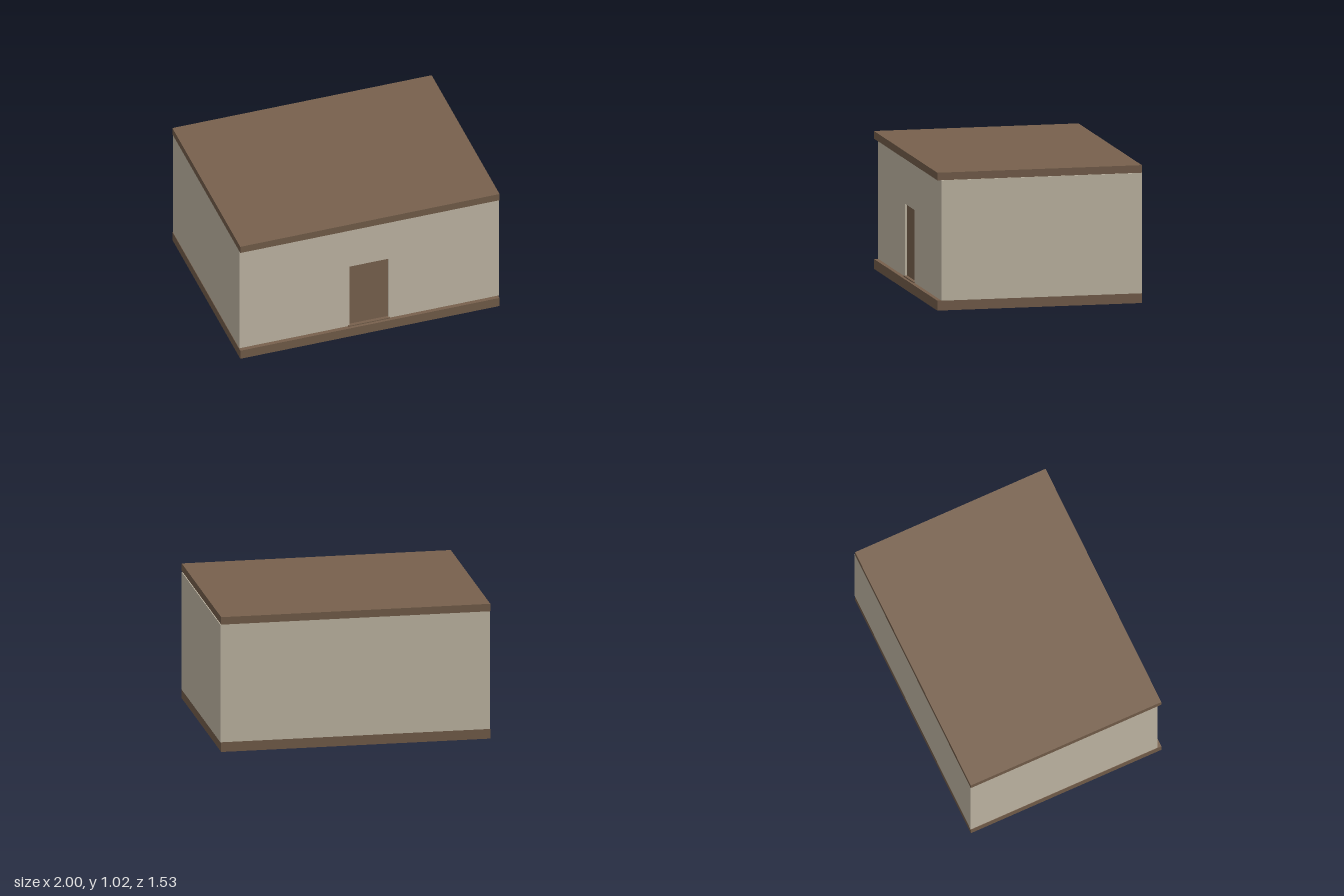
import * as THREE from 'three';

const wallMat = new THREE.MeshStandardMaterial({ color: 0xc9bfac });
const slabMat = new THREE.MeshStandardMaterial({ color: 0x78614d });
const doorMat = new THREE.MeshStandardMaterial({ color: 0x7e6652 });

// Box given by its lower and upper corners
function box(name, mat, [x0, y0, z0], [x1, y1, z1]) {
  const mesh = new THREE.Mesh(new THREE.BoxGeometry(x1 - x0, y1 - y0, z1 - z0), mat);
  mesh.position.set((x0 + x1) / 2, (y0 + y1) / 2, (z0 + z1) / 2);
  mesh.name = name;
  return mesh;
}

export function createModel() {
  const house = new THREE.Group();
  house.name = 'house';

  const floorTop = 0.073, roofBottom = 0.96, roofTop = 1.016;
  const left = 1, right = -0.997, front = 0.735, back = -0.764, thick = 0.07;
  const doorHalf = 0.15, doorTop = 0.61;

  // Floor and roof slabs
  house.add(box('floor', slabMat, [-1, 0, -0.764], [0.994, floorTop, 0.766]));
  house.add(box('roof', slabMat, [-1, roofBottom, -0.764], [0.994, roofTop, 0.766]));

  // Side walls run the full depth, the back wall fits between them
  house.add(box('leftWall', wallMat, [left - thick, floorTop, back], [left, roofBottom, front]));
  house.add(box('rightWall', wallMat, [right, floorTop, back], [right + thick, roofBottom, front]));
  house.add(box('backWall', wallMat, [right + thick, floorTop, back], [left - thick, roofBottom, back + thick]));

  // Front wall with a doorway notched into its lower edge
  const s = new THREE.Shape();
  s.moveTo(right + thick, floorTop);
  s.lineTo(-doorHalf, floorTop);
  s.lineTo(-doorHalf, doorTop);
  s.lineTo(doorHalf, doorTop);
  s.lineTo(doorHalf, floorTop);
  s.lineTo(left - thick, floorTop);
  s.lineTo(left - thick, roofBottom);
  s.lineTo(right + thick, roofBottom);
  s.closePath();
  const frontWall = new THREE.Mesh(
    new THREE.ExtrudeGeometry(s, { depth: thick, bevelEnabled: false }), wallMat);
  frontWall.position.z = front - thick;
  frontWall.name = 'frontWall';
  house.add(frontWall);

  // Door leaf set slightly back in the doorway, with a low sill
  house.add(box('door', doorMat, [-doorHalf, floorTop, front - 0.05], [doorHalf, doorTop, front - 0.015]));
  house.add(box('doorSill', slabMat, [-0.16, floorTop, front - 0.015], [0.16, floorTop + 0.008, front + 0.01]));

  return house;
}
